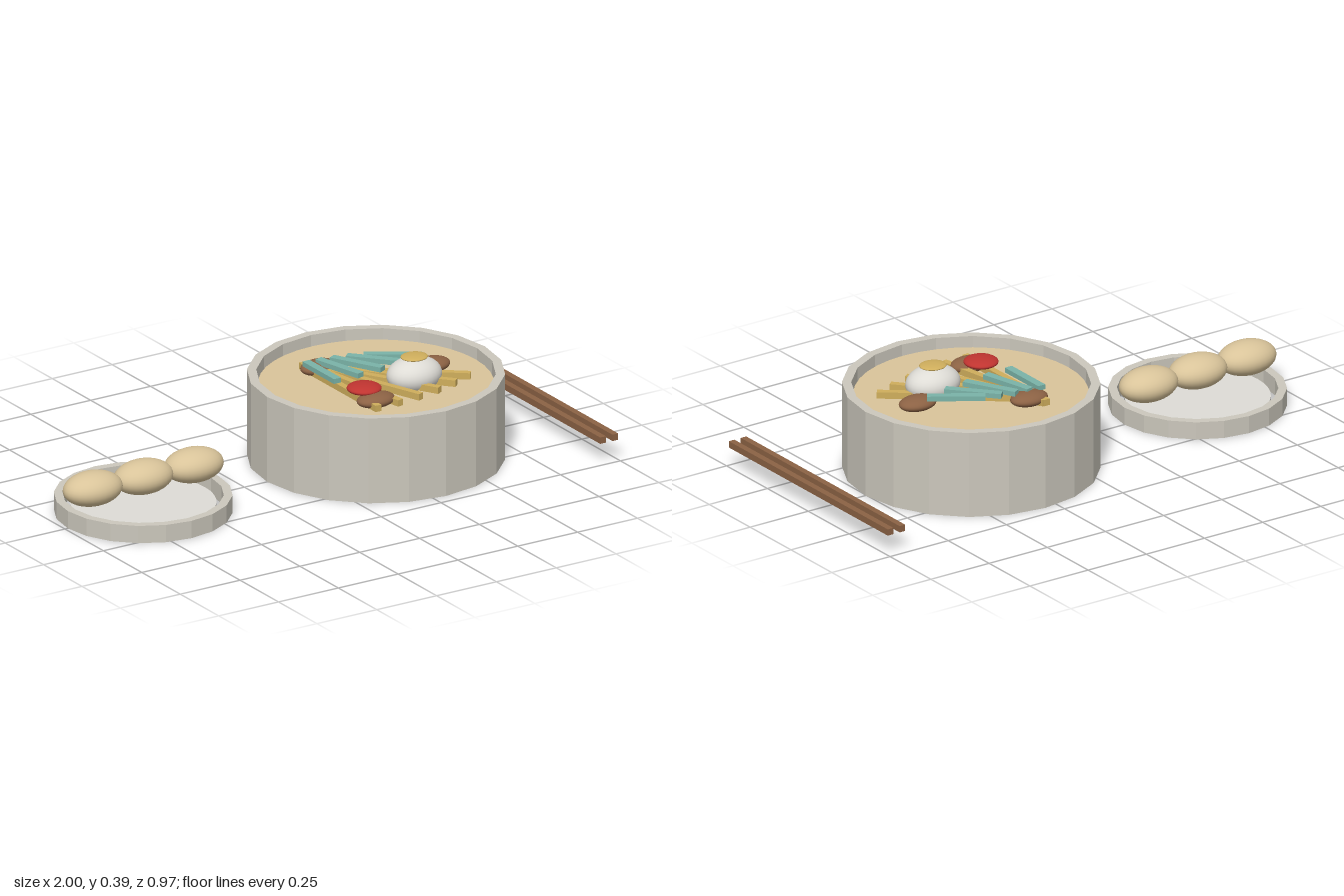
import * as THREE from 'three';

const mat = (name, color) => {
  const m = new THREE.MeshStandardMaterial({ color });
  m.name = name;
  return m;
};

export function createModel() {
  const root = new THREE.Group();
  root.name = 'noodleBowlSet';

  const stone = mat('stoneGrey', 0xcbc7bc);
  const white = mat('white', 0xdedcd6);
  const broth = mat('tan', 0xd9c49a);
  const gold = mat('noodleGold', 0xcfae5c);
  const teal = mat('onionTeal', 0x7ab3a8);
  const brown = mat('mushroomBrown', 0x8c6244);
  const red = mat('red', 0xc03430);
  const wood = mat('wood', 0x8b6244);

  const add = (name, geometry, material, x, y, z, parent = root) => {
    const mesh = new THREE.Mesh(geometry, material);
    mesh.name = name;
    mesh.position.set(x, y, z);
    parent.add(mesh);
    return mesh;
  };

  // Faceted wall ring with a square section, open top and bottom
  const ring = (outer, inner, height, sides) => {
    const profile = [[outer, 0], [outer, height], [inner, height], [inner, 0], [outer, 0]]
      .map(([r, y]) => new THREE.Vector2(r, y));
    const g = new THREE.LatheGeometry(profile, sides).toNonIndexed();
    g.computeVertexNormals();
    return g;
  };
  const disc = (r, h) => new THREE.CylinderGeometry(r, r, h, 40);
  const ellipsoid = (rx, ry, rz) => new THREE.SphereGeometry(1, 28, 18).scale(rx, ry, rz);

  // Bowl
  const bowl = new THREE.Group();
  bowl.name = 'bowl';
  bowl.position.x = 0.3;
  root.add(bowl);
  add('bowlWall', ring(0.455, 0.422, 0.32, 20), stone, 0, 0, 0, bowl);
  add('bowlBase', disc(0.385, 0.02), white, 0, 0.03, 0, bowl);
  add('broth', disc(0.415, 0.02), broth, 0, 0.27, 0, bowl);

  // Fan of noodles
  for (let i = 0; i < 6; i++) {
    const noodle = add('noodle', new THREE.BoxGeometry(0.024, 0.024, 0.5), gold, 0.15 + 0.05 * i, 0.295, 0);
    noodle.rotation.y = 0.18 * i;
  }

  // Fan of spring onion strips
  for (let i = 0; i < 5; i++) {
    const strip = add('springOnion', new THREE.BoxGeometry(0.03, 0.018, 0.205), teal, 0.13 + 0.074 * i, 0.326, -0.088);
    strip.rotation.y = 0.245 * i;
  }

  // Mushrooms
  for (const [x, z] of [[0.185, -0.19], [0.53, 0], [0.182, 0.182]]) {
    add('mushroom', ellipsoid(0.073, 0.026, 0.052), brown, x, 0.3, z);
  }

  // Red topping and halved egg
  add('redTopping', ellipsoid(0.062, 0.018, 0.062), red, 0.17, 0.327, 0.125);
  add('eggWhite', ellipsoid(0.104, 0.064, 0.083), white, 0.405, 0.317, 0.085);
  add('eggYolk', ellipsoid(0.05, 0.009, 0.045), gold, 0.405, 0.383, 0.085);

  // Side dish with three buns
  const dish = new THREE.Group();
  dish.name = 'sideDish';
  dish.position.x = -0.673;
  root.add(dish);
  add('dishWall', ring(0.315, 0.284, 0.065, 20), stone, 0, 0, 0, dish);
  add('dishBase', disc(0.258, 0.02), white, 0, 0.025, 0, dish);
  for (const i of [-1, 0, 1]) {
    add('bun', ellipsoid(0.114, 0.061, 0.083), broth, i * 0.211, 0.13, 0, dish);
  }

  // Chopsticks
  for (const x of [0.937, 0.988]) {
    add('chopstick', new THREE.BoxGeometry(0.024, 0.024, 0.972), wood, x, 0.087, 0);
  }

  return root;
}
